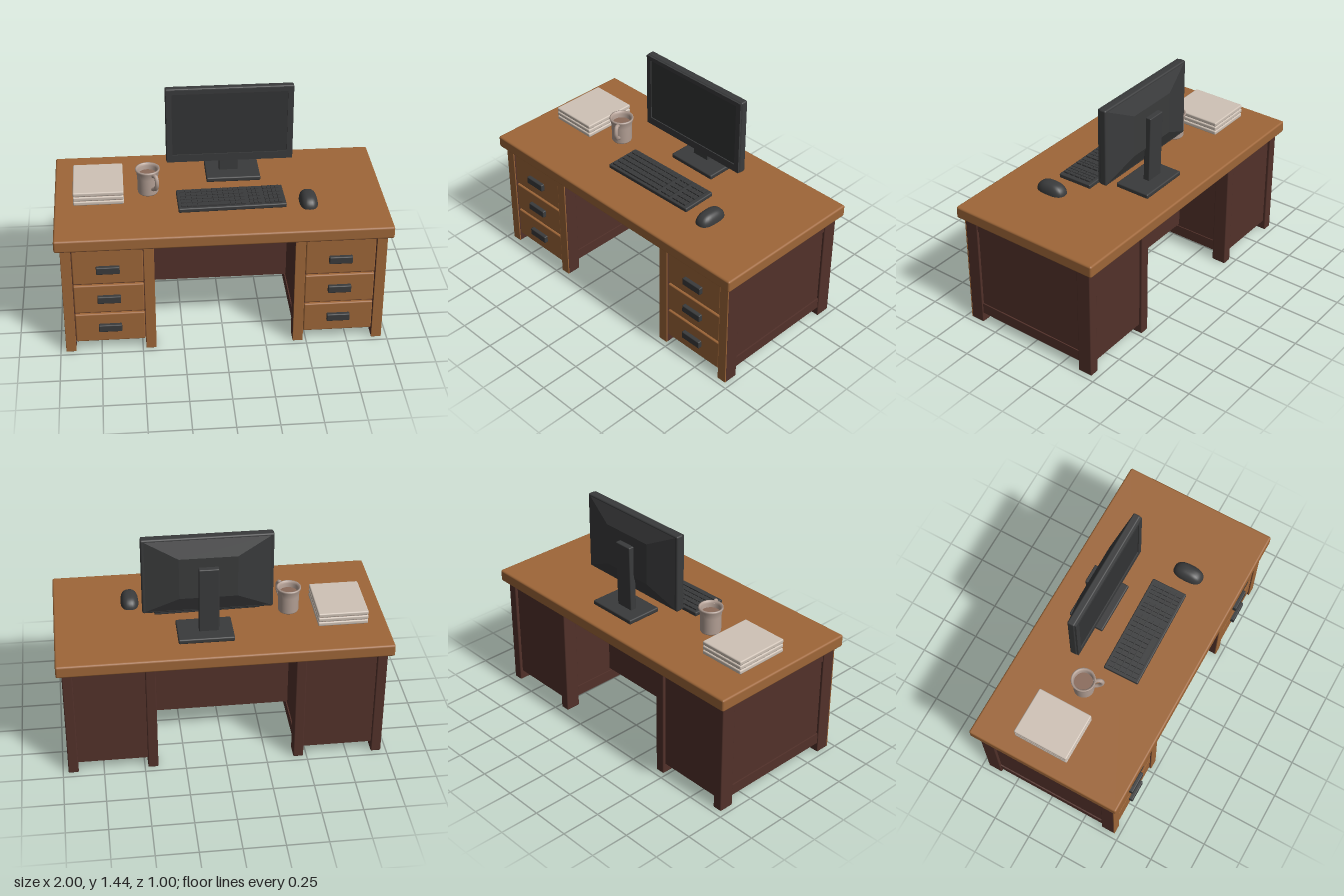
import * as THREE from 'three';
import { RoundedBoxGeometry } from 'three/addons/geometries/RoundedBoxGeometry.js';

const mat = (name, color, side = THREE.FrontSide) => {
  const m = new THREE.MeshStandardMaterial({ color, side });
  m.name = name;
  return m;
};

export function createModel() {
  const wood = mat('warm wood', 0x9e6638);
  const darkWood = mat('dark wood', 0x52312a);
  const grey = mat('charcoal plastic', 0x3a3b3c);
  const screenGrey = mat('screen', 0x333435);
  const paper = mat('paper', 0xcfc2b6);
  const cover = mat('book cover', 0xb89f92);
  const ceramic = mat('ceramic', 0xb5a196, THREE.DoubleSide);
  const coffee = mat('coffee', 0x8a6a5a);

  const model = new THREE.Group();
  const group = (name, parent = model) => {
    const g = new THREE.Group();
    g.name = name;
    parent.add(g);
    return g;
  };
  const add = (parent, name, geometry, material) => {
    const m = new THREE.Mesh(geometry, material);
    m.name = name;
    parent.add(m);
    return m;
  };
  // Box from its limits; r rounds the edges
  const box = (parent, name, material, [x0, x1], [y0, y1], [z0, z1], r = 0) => {
    const s = [x1 - x0, y1 - y0, z1 - z0];
    const g = r ? new RoundedBoxGeometry(...s, 2, r) : new THREE.BoxGeometry(...s);
    const m = add(parent, name, g, material);
    m.position.set((x0 + x1) / 2, (y0 + y1) / 2, (z0 + z1) / 2);
    return m;
  };

  // Desk top with a dark underside
  const desk = group('desk');
  box(desk, 'deskTop', wood, [-1, 1], [0.733, 0.81], [-0.5, 0.5], 0.012);
  box(desk, 'deskUnderside', darkWood, [-0.985, 0.985], [0.728, 0.734], [-0.485, 0.485]);
  box(desk, 'modestyPanel', darkWood, [-0.44, 0.44], [0.15, 0.73], [-0.09, -0.045]);
  box(desk, 'modestyRail', darkWood, [-0.44, 0.44], [0.66, 0.73], [-0.095, -0.035]);

  // Two drawer pedestals
  for (const side of [-1, 1]) {
    const ped = group(side > 0 ? 'leftPedestal' : 'rightPedestal', desk);
    const span = (a, b) => (side > 0 ? [a, b] : [-b, -a]);
    box(ped, 'carcass', darkWood, span(0.435, 0.952), [0.065, 0.73], [-0.445, 0.44]);
    box(ped, 'sideRail', darkWood, span(0.428, 0.96), [0.66, 0.73], [-0.4, 0.4]);
    box(ped, 'sideBottomRail', darkWood, span(0.428, 0.96), [0.065, 0.135], [-0.4, 0.4]);
    for (const [a, b] of [[0.418, 0.48], [0.905, 0.967]]) {
      box(ped, 'backLeg', darkWood, span(a, b), [0, 0.73], [-0.463, -0.368], 0.007);
      box(ped, 'frontLeg', darkWood, span(a, b), [0, 0.73], [0.375, 0.462], 0.005);
      box(ped, 'frontLegFace', wood, span(a, b), [0, 0.73], [0.46, 0.468], 0.003);
    }
    // Drawers with their handles
    [[0.065, 0.262, 0.168], [0.274, 0.468, 0.375], [0.48, 0.728, 0.583]].forEach(([y0, y1, h]) => {
      box(ped, 'drawerFront', wood, span(0.483, 0.902), [y0, y1], [0.43, 0.46], 0.008);
      box(ped, 'drawerHandle', grey, span(0.622, 0.762), [h - 0.024, h + 0.024], [0.45, 0.484], 0.006);
    });
  }

  // Monitor: slab, tapered back, screen and stand
  const monitor = group('monitor');
  box(monitor, 'monitorFrame', grey, [-0.31, 0.47], [0.945, 1.44], [-0.195, -0.148], 0.01);
  const bezel = new THREE.Shape();
  bezel.moveTo(-0.305, 0.95).lineTo(0.465, 0.95).lineTo(0.465, 1.435).lineTo(-0.305, 1.435);
  const opening = new THREE.Path();
  opening.moveTo(-0.272, 0.998).lineTo(-0.272, 1.408).lineTo(0.432, 1.408).lineTo(0.432, 0.998);
  bezel.holes.push(opening);
  const bezelMesh = add(monitor, 'bezel', new THREE.ExtrudeGeometry(bezel, { depth: 0.012, bevelEnabled: false }), grey);
  bezelMesh.position.z = -0.15;
  box(monitor, 'screen', screenGrey, [-0.275, 0.435], [0.995, 1.411], [-0.15, -0.145]);

  const backGeo = new THREE.BoxGeometry(0.77, 0.485, 0.044);
  const bp = backGeo.attributes.position;
  for (let i = 0; i < bp.count; i++) {
    if (bp.getZ(i) < 0) bp.setXY(i, bp.getX(i) * 0.45, bp.getY(i) * 0.55);
  }
  backGeo.computeVertexNormals();
  add(monitor, 'monitorBack', backGeo, grey).position.set(0.08, 1.1925, -0.214);

  const column = box(monitor, 'standColumn', grey, [0.02, 0.14], [0.825, 1.265], [-0.265, -0.222], 0.006);
  column.rotation.x = -0.02;
  box(monitor, 'standBase', grey, [-0.065, 0.27], [0.81, 0.84], [-0.345, -0.115], 0.008);

  // Keyboard, lying slightly turned
  const keyboard = group('keyboard');
  keyboard.position.set(0.065, 0.81, 0.114);
  keyboard.rotation.y = 0.022;
  box(keyboard, 'keyboardBase', grey, [-0.325, 0.325], [0, 0.028], [-0.115, 0.115], 0.007);
  for (const [x0, x1, n] of [[-0.305, 0.085, 12], [0.105, 0.18, 3], [0.2, 0.305, 4]]) {
    const step = (x1 - x0) / n;
    for (let row = 0; row < 5; row++) {
      const z = -0.095 + row * 0.04;
      for (let i = 0; i < n; i++) {
        const x = x0 + i * step;
        const space = row === 4 && n === 12;
        if (space && i > 3 && i < 9) continue;
        box(keyboard, 'key', grey, [x, x + (space && i === 3 ? 6 : 1) * step - 0.005], [0.025, 0.038], [z, z + 0.033]);
      }
    }
  }

  // Mouse: domed, squarish oval
  const mouseGeo = new THREE.SphereGeometry(1, 28, 12, 0, Math.PI * 2, 0, Math.PI / 2);
  const mp = mouseGeo.attributes.position;
  const swell = (v) => Math.sign(v) * Math.abs(v) ** 0.75;
  for (let i = 0; i < mp.count; i++) {
    mp.setXYZ(i, swell(mp.getX(i)) * 0.055, mp.getY(i) * 0.063, swell(mp.getZ(i)) * 0.097);
  }
  mouseGeo.computeVertexNormals();
  add(model, 'mouse', mouseGeo, grey).position.set(0.53, 0.81, 0.163);

  // Mug with coffee and a looped handle
  const mug = group('mug');
  mug.position.set(-0.43, 0.81, -0.035);
  mug.rotation.y = -1.08;
  const profile = [[0, 0], [0.058, 0], [0.063, 0.008], [0.064, 0.11], [0.069, 0.145], [0.075, 0.155],
    [0.074, 0.165], [0.066, 0.165], [0.058, 0.15], [0.055, 0.1], [0.055, 0.02], [0, 0.02]];
  add(mug, 'mugBody', new THREE.LatheGeometry(profile.map((p) => new THREE.Vector2(...p)), 28), ceramic);
  const drink = add(mug, 'coffee', new THREE.CircleGeometry(0.057, 28), coffee);
  drink.rotation.x = -Math.PI / 2;
  drink.position.y = 0.125;
  const loop = new THREE.CatmullRomCurve3([[0.058, 0.14], [0.1, 0.148], [0.113, 0.11], [0.098, 0.07], [0.058, 0.045]]
    .map(([x, y]) => new THREE.Vector3(x, y, 0)));
  add(mug, 'mugHandle', new THREE.TubeGeometry(loop, 20, 0.013, 8), ceramic);

  // Stack of books: covers with paler pages between
  const books = group('books');
  box(books, 'pages', cover, [-0.875, -0.59], [0.812, 0.89], [-0.242, 0.097]);
  for (const y of [0.811, 0.841, 0.871]) {
    box(books, 'book', paper, [-0.885, -0.58], [y, y + 0.027], [-0.25, 0.105], 0.008);
  }
  return model;
}
